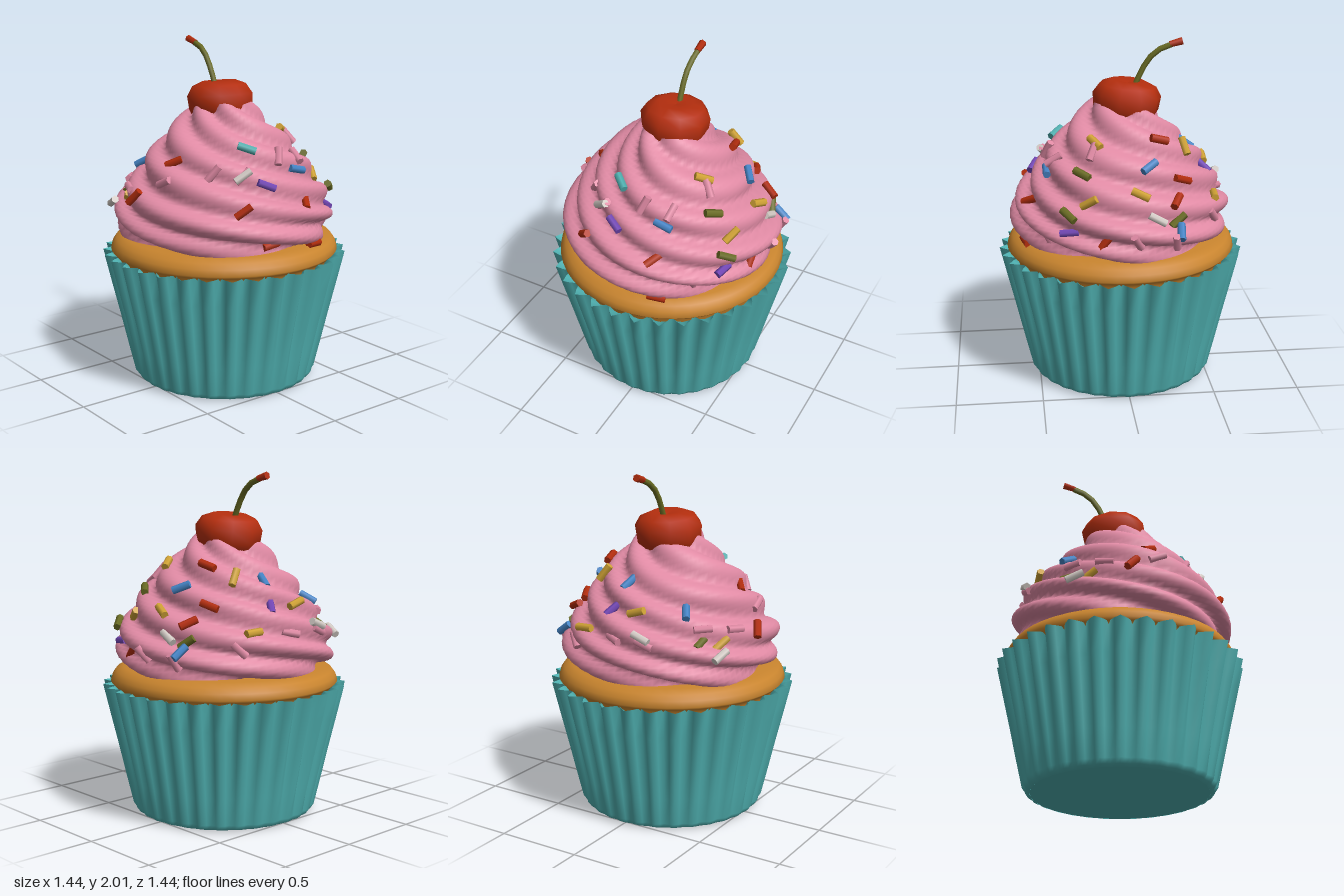
import * as THREE from 'three';

const paint = (name, color, extra = {}) => {
  const m = new THREE.MeshStandardMaterial({ color, ...extra });
  m.name = name;
  return m;
};

// Closed ring grid: point(azimuth, t, i) runs from the front towards +x, t runs upwards
function ringGrid(point, around, rows) {
  const pos = [], idx = [];
  for (let j = 0; j <= rows; j++) {
    for (let i = 0; i < around; i++) pos.push(...point((i / around) * Math.PI * 2, j / rows, i));
  }
  for (let j = 0; j < rows; j++) {
    for (let i = 0; i < around; i++) {
      const a = j * around + i, b = j * around + (i + 1) % around;
      idx.push(a, b, b + around, a, b + around, a + around);
    }
  }
  const g = new THREE.BufferGeometry();
  g.setAttribute('position', new THREE.Float32BufferAttribute(pos, 3));
  g.setIndex(idx);
  g.computeVertexNormals();
  return g;
}

const polar = (az, r, y) => [Math.sin(az) * r, y, Math.cos(az) * r];
const lathe = (pts, seg) => new THREE.LatheGeometry(pts.map(p => new THREE.Vector2(...p)), seg);

// Pleated band from rows of [height, valley radius, ridge radius]
const PLEATS = 32, FOLD = [0, 0.55, 1, 0.55];
const pleated = rows => ringGrid((az, t, i) => {
  const [y, inner, outer] = rows[Math.round(t * (rows.length - 1))];
  return polar(az, inner + (outer - inner) * FOLD[(i + 2) % 4], y);
}, PLEATS * 4, rows.length - 1);

// Frosting profile: radii at even heights from 0.85 to 1.65
const FROST_Y = 0.85, FROST_H = 0.8;
const frostCurve = new THREE.CatmullRomCurve3(
  [0.57, 0.63, 0.63, 0.58, 0.51, 0.445, 0.355, 0.255, 0.16].map((r, i) => new THREE.Vector3(r, FROST_Y + i * 0.1, 0)),
  false, 'catmullrom', 0.5);

// Five twisted strands with soft crests and sharp valleys
function frostPoint(az, t) {
  const u = Math.min(Math.max(t, 0), 1);
  const p = frostCurve.getPoint(u), d = frostCurve.getTangent(u);
  const phase = 5 * az + 40 * p.y + 0.6 * Math.sin(2 * az + 5 * p.y);
  const crest = Math.abs(Math.cos(phase / 2));
  const push = 0.085 * (crest - 0.78) * (1 - 0.4 * u) + 0.008 * Math.sin(3 * az + 9 * p.y);
  return polar(az, p.x + d.y * push, p.y - d.x * push);
}

export function createModel() {
  const teal = paint('wrapper teal', 0x4fb0b0, { side: THREE.DoubleSide });
  const pink = paint('frosting pink', 0xe08aa4);
  const cakeMat = paint('cake orange', 0xc8842e);
  const red = paint('cherry red', 0xb42e0e);
  const olive = paint('stem olive', 0x6a6c24);
  const yellow = paint('sprinkle yellow', 0xd2a436);
  const blue = paint('sprinkle blue', 0x4686c8);
  const purple = paint('sprinkle purple', 0x7448b8);
  const white = paint('sprinkle white', 0xd6cec8);

  const model = new THREE.Group();
  model.name = 'cupcake';
  const add = (name, geo, mat, parent = model) => {
    const m = new THREE.Mesh(geo, mat);
    m.name = name;
    parent.add(m);
    return m;
  };

  // Pleated paper wrapper, its folded rim and base
  add('wrapper', pleated([[0.002, 0.5, 0.505], [0.012, 0.522, 0.53], [0.04, 0.534, 0.55], [0.2, 0.552, 0.588],
    [0.4, 0.583, 0.634], [0.6, 0.616, 0.682], [0.77, 0.648, 0.722]]), teal);
  add('wrapperRim', pleated([[0.77, 0.648, 0.722], [0.735, 0.635, 0.65]]), teal);
  add('wrapperBase', lathe([[0, 0], [0.49, 0], [0.503, 0.003]], 64), teal);

  // Cake dome spilling over the wrapper rim
  add('cake', lathe([[0.6, 0.6], [0.635, 0.74], [0.66, 0.77], [0.675, 0.785], [0.665, 0.82],
    [0.643, 0.85], [0.6, 0.874], [0.4, 0.89], [0, 0.89]], 48), cakeMat);

  // Swirled frosting
  add('frosting', ringGrid(frostPoint, 84, 42), pink);

  // Cherry with a dimpled top, leaning back slightly
  const cherry = add('cherry', lathe([[0, -0.16], [0.1, -0.14], [0.165, -0.1], [0.192, -0.045],
    [0.2, 0.03], [0.165, 0.085], [0.1, 0.112], [0, 0.095]], 10), red);
  cherry.position.set(0, 1.655, -0.038);
  cherry.rotation.x = -0.1;

  // Curved stem and its cut end
  const stemPath = new THREE.CatmullRomCurve3([[0, 1.72, -0.08], [0, 1.8, -0.115], [0, 1.88, -0.16],
    [0.004, 1.935, -0.215], [0.005, 1.968, -0.295]].map(p => new THREE.Vector3(...p)));
  add('stem', new THREE.TubeGeometry(stemPath, 5, 0.017, 6), olive);
  const tip = add('stemTip', new THREE.CylinderGeometry(0.022, 0.018, 0.075, 6), red);
  tip.position.set(0.005, 1.978, -0.322);
  tip.quaternion.setFromUnitVectors(new THREE.Vector3(0, 1, 0), new THREE.Vector3(0, 0.25, -0.97).normalize());

  // Sprinkles: lying on the frosting at azimuth (degrees), height, roll (degrees) and lift
  const sprinkles = new THREE.Group();
  sprinkles.name = 'sprinkles';
  model.add(sprinkles);
  const rod = new THREE.CylinderGeometry(0.023, 0.023, 0.105, 6).rotateZ(-Math.PI / 2);
  const V = (az, t) => new THREE.Vector3(...frostPoint(az, t));
  function sprinkle(mat, deg, y, roll, lift = 0.012) {
    const az = THREE.MathUtils.degToRad(deg), t = (y - FROST_Y) / FROST_H;
    const side = V(az + 0.1, t).sub(V(az - 0.1, t)).normalize();
    const up = V(az, t + 0.06).sub(V(az, t - 0.06));
    const out = side.clone().cross(up).normalize();
    up.crossVectors(out, side);
    const m = add('sprinkle', rod, mat, sprinkles);
    m.quaternion.setFromRotationMatrix(new THREE.Matrix4().makeBasis(side, up, out));
    m.rotateZ(THREE.MathUtils.degToRad(roll));
    m.position.copy(V(az, t)).addScaledVector(out, lift);
  }
  const placed = [
    [white, [-164, 1.14, -25], [-124, 1.05, 30], [105, 1.12, -35], [-25, 1.3, 30]],
    [yellow, [-170, 1.27, 10], [153, 1.14, 15], [145, 1.41, 70], [96, 1.23, -35], [59, 1.47, -35],
      [66, 1.2, 25], [-119, 1.12, 30]],
    [purple, [169, 1.27, 65], [-10, 1.25, -30], [56, 1.03, 10]],
    [olive, [-132, 1.13, 40], [57, 1.32, -20], [57, 1.12, -30], [117, 1.1, 30]],
    [blue, [-139, 1.27, 75], [172, 1.41, 75], [115, 1.03, 60], [105, 1.36, 30], [23, 1.3, -25]],
    [teal, [-18, 1.43, -30]],
    [red, [128, 1.28, -25], [117, 1.18, 40], [122, 1.47, -25], [-79, 1.36, 35, 0.022], [17, 1.13, 40, 0.02],
      [-27, 1.13, 30], [76, 0.99, 50], [-95, 1.14, 55], [20, 0.89, 0, 0], [-10, 0.89, 0, 0]],
  ];
  for (const [mat, ...list] of placed) for (const s of list) sprinkle(mat, ...s);

  // Sprinkles sunk under the frosting
  for (let i = 0; i < 14; i++) {
    sprinkle(pink, i * 137.5 + 40, 0.95 + ((i * 0.37) % 1) * 0.5, (i * 67) % 180 - 90, -0.002);
  }
  return model;
}
